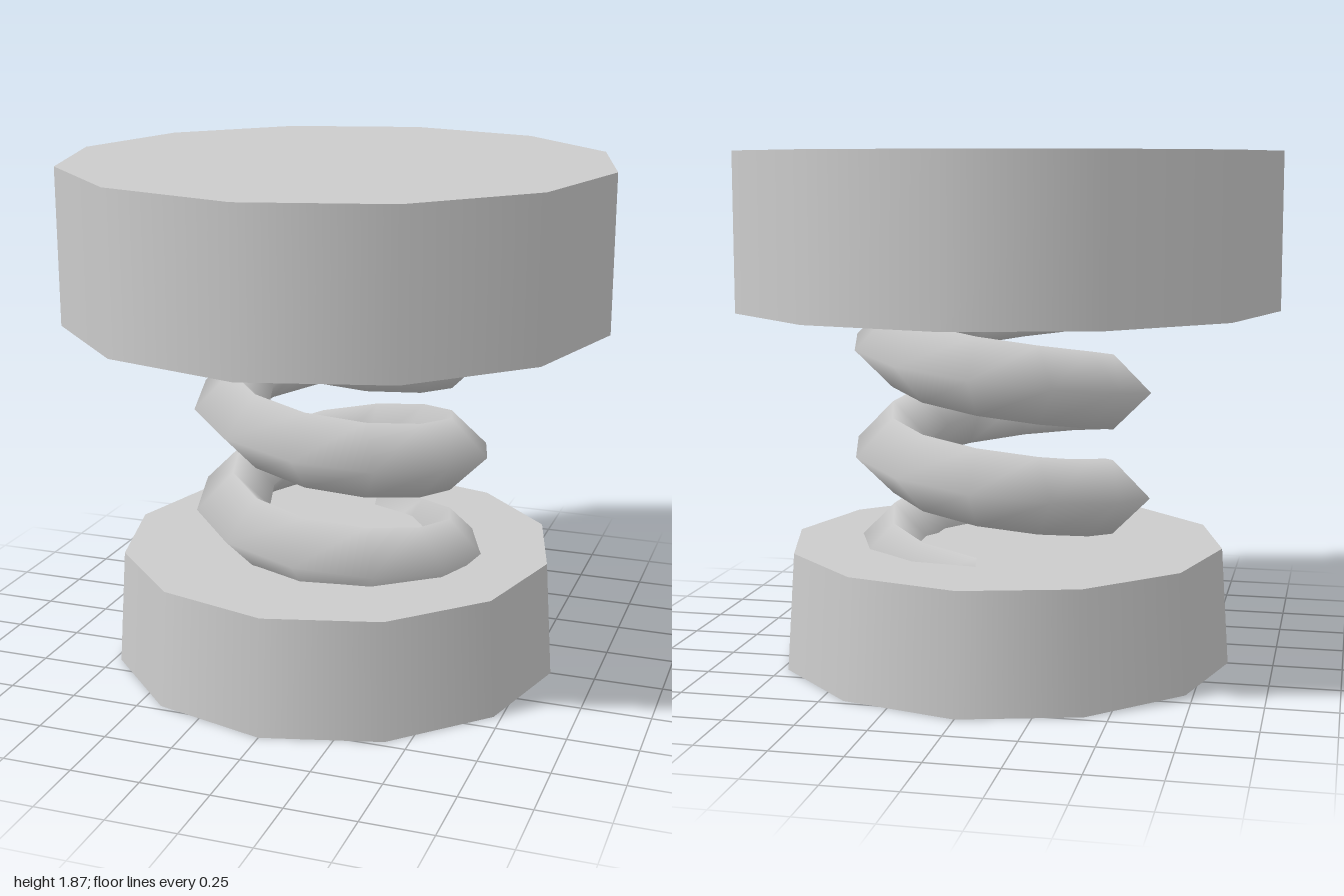
import * as THREE from 'three';

const material = new THREE.MeshStandardMaterial({ color: 0xcccccc });

// Twelve-sided disc standing between two heights
function disc(name, topRadius, bottomRadius, y0, y1) {
  const geometry = new THREE.CylinderGeometry(topRadius, bottomRadius, y1 - y0, 12);
  geometry.translate(0, (y0 + y1) / 2, 0);
  const mesh = new THREE.Mesh(geometry, material);
  mesh.name = name;
  return mesh;
}

// Helix swept with a four-cornered section, smooth shaded
function coil() {
  const perTurn = 12, sides = 4, first = -3, last = 30;
  const radius = 0.417, thickness = 0.138, pitch = 0.39, baseY = 0.415;
  const positions = [], index = [];
  for (let i = first; i <= last; i++) {
    const a = (i / perTurn) * Math.PI * 2;
    for (let j = 0; j < sides; j++) {
      const b = (j / sides) * Math.PI * 2;
      const r = radius + thickness * Math.cos(b);
      const y = baseY + (pitch * i) / perTurn + thickness * Math.sin(b);
      positions.push(r * Math.cos(a), y, r * Math.sin(a));
    }
  }
  for (let i = 0; i < last - first; i++) {
    for (let j = 0; j < sides; j++) {
      const k = (j + 1) % sides;
      const p = i * sides + j, q = i * sides + k;
      index.push(p, q, p + sides, q, q + sides, p + sides);
    }
  }
  const geometry = new THREE.BufferGeometry();
  geometry.setAttribute('position', new THREE.Float32BufferAttribute(positions, 3));
  geometry.setIndex(index);
  geometry.computeVertexNormals();
  const mesh = new THREE.Mesh(geometry, material);
  mesh.name = 'spring';
  mesh.position.set(0.013, 0, -0.02);
  return mesh;
}

export function createModel() {
  const group = new THREE.Group();
  group.name = 'springPad';
  group.add(
    disc('base', 0.807, 0.835, 0, 0.43),
    coil(),
    disc('topPlate', 1, 1, 1.305, 1.87)
  );
  return group;
}
